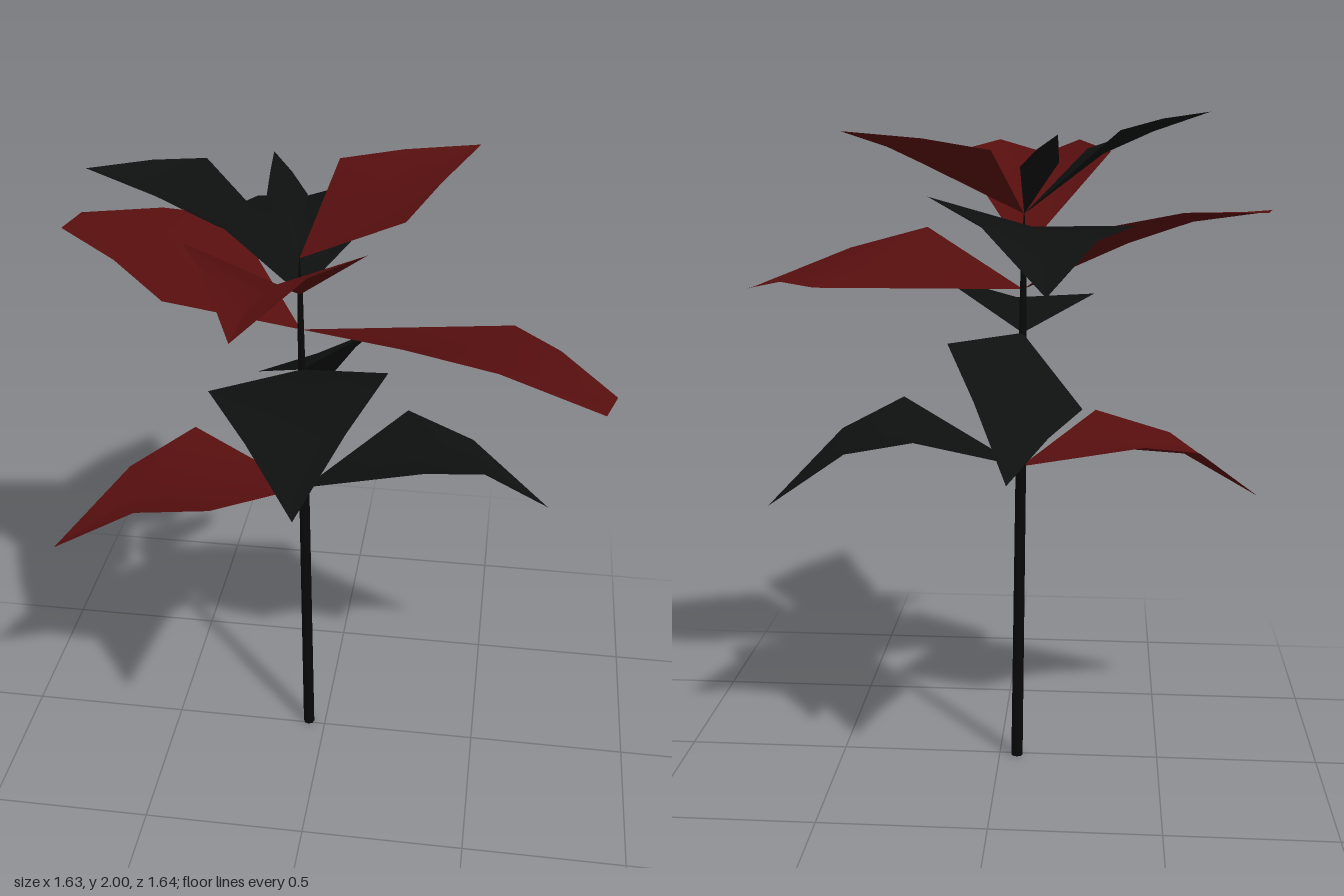
import * as THREE from 'three';

const RED = new THREE.MeshStandardMaterial({ color: 0x560e0e, side: THREE.DoubleSide });
const DARK = new THREE.MeshStandardMaterial({ color: 0x0e0f0f, side: THREE.DoubleSide });
const BARK = new THREE.MeshStandardMaterial({ color: 0x080808 });

const STEM_Z = -0.01;
const stemX = (y) => -0.055 - 0.009 * y;

// Folded leaf growing from the stem at baseY: a stalk point, then a wide row, an arched
// middle row and the tip, each row with a left edge, a sunken rib and a right edge.
//   heading: degrees from +x towards +z    at, half: distance and half-width of the wide row
//   edges: heights of its two edges        fold: drop of the rib below them
//   skew: slant of the wide row            arch: lift of the middle row
//   reach, tipY: the tip                   blunt: half-width of a cut-off tip
function leaf({ name, material, baseY, heading, at, half, edges, reach, tipY,
  fold = 0.04, arch = 0.02, skew = 0, blunt = 0 }) {
  const angle = THREE.MathUtils.degToRad(heading);
  const [c, s] = [Math.cos(angle), Math.sin(angle)];
  const place = (along, across, y) => new THREE.Vector3(
    stemX(baseY) + along * c - across * s, y, STEM_Z + along * s + across * c);

  const ribY = (edges[0] + edges[1]) / 2 - fold;
  const sides = [1, 0, -1];
  const wide = sides.map((k) => place(at - k * skew, k * half, [edges[1], ribY, edges[0]][k + 1]));
  const tip = sides.map((k) => place(reach, k * blunt, tipY));
  const middle = wide.map((p, i) => {
    const q = p.clone().lerp(tip[i], 0.46);
    q.y += arch;
    return q;
  });

  const index = [0, 1, 2, 0, 2, 3];
  for (const row of [1, 4]) {
    for (let i = row; i < row + 2; i++) index.push(i, i + 3, i + 4, i, i + 4, i + 1);
  }
  const geometry = new THREE.BufferGeometry()
    .setFromPoints([place(0, 0, baseY), ...wide, ...middle, ...tip]);
  geometry.setIndex(index);
  geometry.computeVertexNormals();
  const mesh = new THREE.Mesh(geometry, material);
  mesh.name = name;
  return mesh;
}

// Leaves sit in opposite pairs, each pair turned against the one below
const TIERS = [
  { baseY: 0.95, arch: 0.055, leaves: [
    { name: 'lowerRightLeaf', material: RED, heading: 163, at: 0.31, half: 0.25,
      edges: [1.05, 1.06], fold: 0.065, reach: 0.775, tipY: 0.81 },
    { name: 'lowerLeftLeaf', material: DARK, heading: -11, at: 0.34, half: 0.225,
      edges: [1.13, 1.085], reach: 0.765, tipY: 0.85 },
  ] },
  { baseY: 1.36, arch: 0.015, leaves: [
    { name: 'middleFrontLeaf', material: DARK, heading: 83, at: 0.28, half: 0.245,
      edges: [1.44, 1.5], reach: 0.735, tipY: 1.32 },
    { name: 'middleBackLeaf', material: DARK, heading: -89, at: 0.28, half: 0.19,
      edges: [1.37, 1.19], fold: 0.01, reach: 0.57, tipY: 1.04 },
  ] },
  { baseY: 1.49, leaves: [
    { name: 'upperLeftLeaf', material: RED, heading: 17, at: 0.49, half: 0.265,
      edges: [1.64, 1.5], skew: 0.065, reach: 0.92, tipY: 1.455, blunt: 0.055 },
    { name: 'upperRightLeaf', material: RED, heading: 191, at: 0.31, half: 0.255,
      edges: [1.7, 1.645], reach: 0.71, tipY: 1.73, blunt: 0.063 },
  ] },
  { baseY: 1.6, arch: 0.04, leaves: [
    { name: 'upperFrontLeaf', material: RED, heading: 92, at: 0.335, half: 0.24,
      edges: [1.88, 1.88], fold: 0.1, reach: 0.83, tipY: 1.86 },
    { name: 'upperBackLeaf', material: DARK, heading: -97, at: 0.325, half: 0.28,
      edges: [1.78, 1.7], reach: 0.815, tipY: 1.57 },
  ] },
  { baseY: 1.71, arch: 0.008, leaves: [
    { name: 'crownLeftLeaf', material: RED, heading: -34, at: 0.225, half: 0.2,
      edges: [1.85, 1.9], reach: 0.575, tipY: 1.95 },
    { name: 'crownRightLeaf', material: DARK, heading: 164, at: 0.235, half: 0.175,
      edges: [1.95, 1.89], reach: 0.563, tipY: 2 },
    { name: 'crownBud', material: DARK, heading: -116, at: 0.11, half: 0.06,
      edges: [1.85, 1.86], reach: 0.235, tipY: 1.94 },
  ] },
];

// Tapering, slightly leaning stem
function stem() {
  const profile = [[0, 0], [0.018, 0], [0.016, 0.95], [0.011, 1.36], [0.008, 1.6], [0, 1.73]];
  const geometry = new THREE.LatheGeometry(profile.map(([r, y]) => new THREE.Vector2(r, y)), 8);
  const position = geometry.attributes.position;
  for (let i = 0; i < position.count; i++) {
    position.setX(i, position.getX(i) + stemX(position.getY(i)));
    position.setZ(i, position.getZ(i) + STEM_Z);
  }
  const mesh = new THREE.Mesh(geometry, BARK);
  mesh.name = 'stem';
  return mesh;
}

export function createModel() {
  const model = new THREE.Group();
  model.name = 'plant';
  model.add(stem());
  for (const { leaves, ...shared } of TIERS) {
    for (const spec of leaves) model.add(leaf({ ...shared, ...spec }));
  }
  return model;
}
